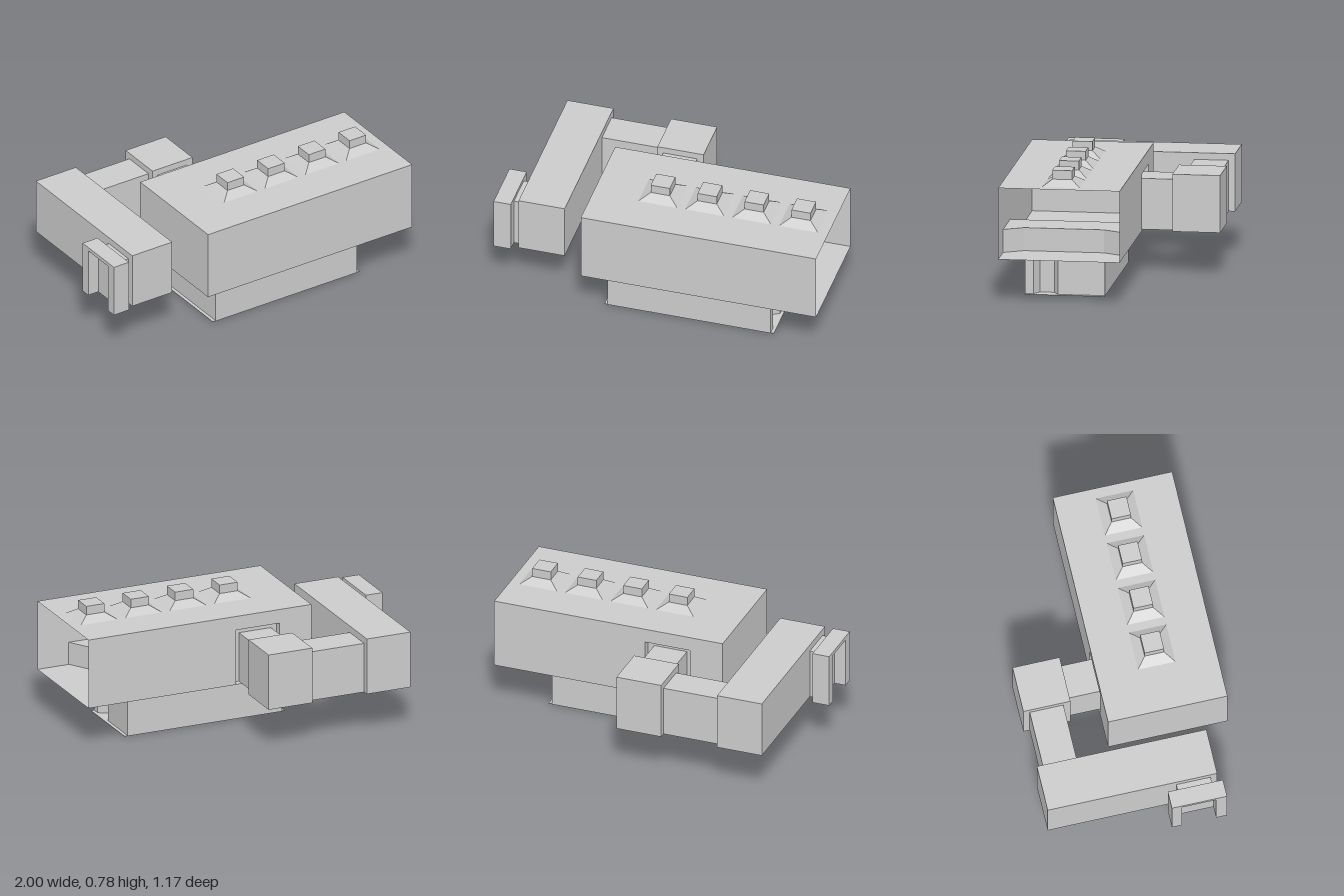
import * as THREE from 'three';

const material = new THREE.MeshStandardMaterial({ color: 0xcccccc, flatShading: true, side: THREE.DoubleSide });

function mesh(name, geometry) {
  const m = new THREE.Mesh(geometry, material);
  m.name = name;
  return m;
}

// Box between two corners; omit lists open sides (0 +x, 1 -x, 2 +y, 3 -y, 4 +z, 5 -z)
function box(name, x0, x1, y0, y1, z0, z1, omit = []) {
  const g = new THREE.BoxGeometry(x1 - x0, y1 - y0, z1 - z0);
  g.translate((x0 + x1) / 2, (y0 + y1) / 2, (z0 + z1) / 2);
  const index = Array.from(g.index.array);
  g.setIndex(index.filter((_, i) => !omit.includes(Math.floor(i / 6))));
  g.clearGroups();
  return mesh(name, g);
}

// Rectangle as a shape or a hole
function rect(x0, x1, y0, y1, Type = THREE.Path) {
  return new Type([[x0, y0], [x1, y0], [x1, y1], [x0, y1]].map(p => new THREE.Vector2(...p)));
}

// Upright prism from a plan outline of [x, z] points
function prism(name, plan, y0, y1) {
  const shape = new THREE.Shape(plan.map(([x, z]) => new THREE.Vector2(x, -z)));
  const g = new THREE.ExtrudeGeometry(shape, { depth: y1 - y0, bevelEnabled: false });
  g.rotateX(-Math.PI / 2).translate(0, y0, 0);
  return mesh(name, g);
}

export function createModel() {
  const model = new THREE.Group();
  model.name = 'engine';
  const low = 0.265, top = 0.69;
  const capX = [-0.035, 0.25, 0.535, 0.82], capZ = 0.225;
  const capW = 0.118, capD = 0.112, neck = 0.058;

  // Hollow block, open at its +x end
  const block = new THREE.Group();
  block.name = 'engineBlock';
  block.add(box('blockWalls', -0.43, 1, low, top, -0.13, 0.585, [0, 2, 5]));

  const roof = rect(-0.43, 1, -0.585, 0.13, THREE.Shape);
  capX.forEach(x => roof.holes.push(rect(x - capW, x + capW, -capZ - capD, -capZ + capD)));
  block.add(mesh('blockRoof', new THREE.ShapeGeometry(roof).rotateX(-Math.PI / 2).translate(0, top, 0)));

  // Back wall with a recessed port for the pipe
  const back = rect(-1, 0.43, low, top, THREE.Shape);
  back.holes.push(rect(-0.055, 0.225, low + 0.001, 0.605));
  block.add(mesh('blockBack', new THREE.ShapeGeometry(back).rotateY(Math.PI).translate(0, 0, -0.13)));
  block.add(box('portRecess', -0.225, 0.055, low + 0.001, 0.605, -0.13, -0.085, [5]));

  // Stepped inner wall with splayed ends
  block.add(prism('innerStep', [
    [0.5, 0.584], [0.8, 0.584], [0.73, 0.47], [0.73, 0], [0.8, -0.129], [0.5, -0.129],
  ], low + 0.001, 0.403));
  model.add(block);

  // Sump with a grooved end, on a thin plate
  model.add(prism('sump', [
    [-0.3, 0.47], [0.69, 0.47], [0.69, 0.42], [0.635, 0.39], [0.635, 0.305],
    [0.69, 0.275], [0.69, 0], [-0.3, 0],
  ], 0.003, low - 0.001));
  model.add(box('sumpPlate', -0.32, 0.71, 0, 0.003, 0, 0.47));

  // Row of flared caps on the roof
  capX.forEach(x => {
    const cap = new THREE.Group();
    cap.name = 'roofCap';
    const flare = new THREE.BoxGeometry(1, 1, 1);
    const p = flare.attributes.position;
    for (let i = 0; i < p.count; i++) {
      const up = p.getY(i) > 0;
      p.setXYZ(i,
        Math.sign(p.getX(i)) * (up ? neck : capW), up ? 0.037 : 0,
        Math.sign(p.getZ(i)) * (up ? neck : capD));
    }
    flare.setIndex(Array.from(flare.index.array).filter((_, i) => ![2, 3].includes(Math.floor(i / 6))));
    flare.clearGroups();
    flare.computeVertexNormals();
    cap.add(mesh('capFlare', flare));
    cap.add(box('capHead', -neck, neck, 0.037, 0.09, -neck, neck, [3]));
    cap.position.set(x, top, capZ);
    model.add(cap);
  });

  // Square duct from the back port round to the side
  const duct = new THREE.Group();
  duct.name = 'duct';
  duct.add(
    box('portPipe', -0.19, 0.015, low, 0.568, -0.31, -0.086),
    box('elbowBox', -0.225, 0.055, low, 0.606, -0.59, -0.308),
    box('crossPipe', -0.575, -0.225, low, 0.568, -0.552, -0.35),
    box('sideArm', -0.855, -0.575, low, 0.608, -0.59, 0.425),
    box('mouthNeck', -0.93, -0.855, low, 0.568, 0.18, 0.385),
  );

  // Mouth flange, slotted from below
  const flange = new THREE.Shape([
    [0.12, low], [0.18, low], [0.18, 0.567], [0.385, 0.567],
    [0.385, low], [0.45, low], [0.45, 0.59], [0.12, 0.59],
  ].map(([z, y]) => new THREE.Vector2(-z, y)));
  const flangeGeometry = new THREE.ExtrudeGeometry(flange, { depth: 0.105, bevelEnabled: false });
  duct.add(mesh('mouthFlange', flangeGeometry.rotateY(Math.PI / 2).translate(-1, 0, 0)));
  model.add(duct);

  return model;
}
